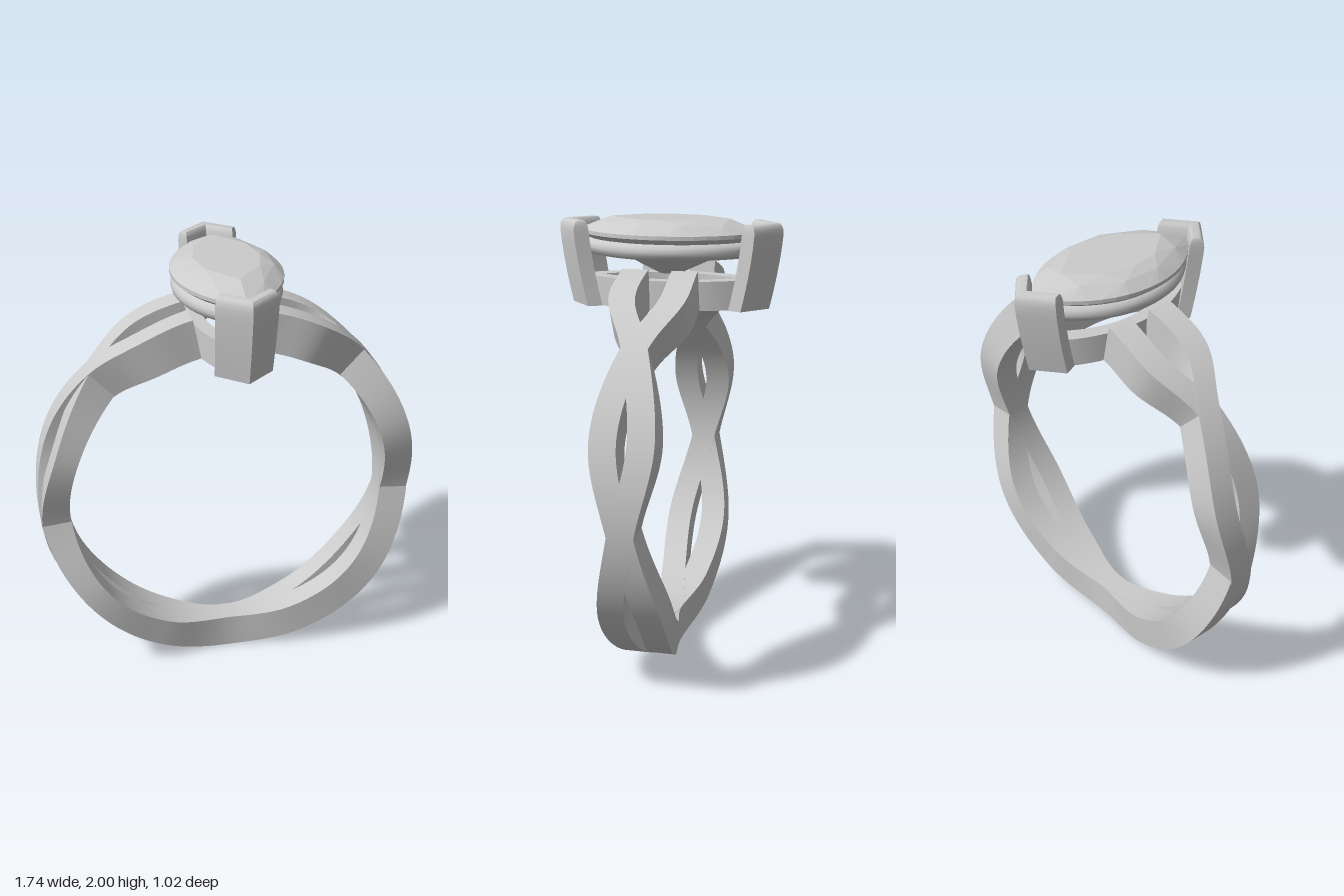
import * as THREE from 'three';
import { toCreasedNormals } from 'three/addons/utils/BufferGeometryUtils.js';
import { ConvexGeometry } from 'three/addons/geometries/ConvexGeometry.js';

const material = new THREE.MeshStandardMaterial({ color: 0xcccccc });
const V = (x, y, z) => new THREE.Vector3(x, y, z);
const CENTRE_Y = 0.87;

function mesh(name, geometry) {
  const m = new THREE.Mesh(geometry, material);
  m.name = name;
  return m;
}

// Skin through equal-sized cross-sections; ends are capped unless closed.
function loft(rings, closed = false, crease = 0.6) {
  const n = rings[0].length, count = rings.length, pts = rings.flat(), tris = [];
  const quad = (a, b, c, d) => tris.push([a, b, c], [a, c, d]);
  for (let i = 0; i < (closed ? count : count - 1); i++) {
    const p = i * n, q = ((i + 1) % count) * n;
    for (let j = 0; j < n; j++) {
      const k = (j + 1) % n;
      quad(p + j, p + k, q + k, q + j);
    }
  }
  if (!closed) {
    const e = (count - 1) * n;
    for (let i = 0; i < n / 2 - 1; i++) {
      quad(n - 1 - i, n - 2 - i, i + 1, i);
      quad(e + i, e + i + 1, e + n - 2 - i, e + n - 1 - i);
    }
  }
  // Turn the faces outward using the enclosed volume
  let volume = 0;
  for (const [a, b, c] of tris) volume += pts[a].dot(pts[b].clone().cross(pts[c]));
  if (volume < 0) tris.forEach((t) => t.reverse());
  const g = new THREE.BufferGeometry().setFromPoints(pts);
  g.setIndex(tris.flat());
  return toCreasedNormals(g, crease);
}

// Pointed oval: two arcs meeting at z = +-l, half width w
function marquise(w, l, count, y, shift = 0) {
  const R = (l * l + w * w) / (2 * w), out = [];
  for (let i = 0; i < count; i++) {
    const t = ((i + shift) / count) % 1, s = t < 0.5 ? 1 : -1;
    const z = l * (((t * 4) % 2) - 1) * s;
    out.push(V(s * (Math.sqrt(R * R - z * z) - R + w), y, z));
  }
  return out;
}

// One of two woven strands; keys are angle from the top, sideways swing, outer radius
function strand(name, side) {
  const keys = [
    [11, 0.11, 0.937], [27, 0.106, 0.925], [43, 0, 0.905], [69, -0.08, 0.88],
    [95, 0, 0.867], [125, 0.083, 0.868], [155, 0.055, 0.87], [180, 0, 0.87],
  ];
  const mirrored = keys.slice(0, -1).reverse().map(([a, z, r]) => [360 - a, z, r]);
  const curve = new THREE.CatmullRomCurve3([...keys, ...mirrored].map((k) => V(...k)));
  const rings = [];
  for (let i = 0; i <= 224; i++) {
    const { x: deg, y: swing, z: radius } = curve.getPoint(i / 224);
    const z = swing * side, a = THREE.MathUtils.degToRad(deg);
    let outer = radius + side * 0.001;
    if (deg > 180 && deg < 317 && z > 0) outer -= 0.4 * z;
    const inner = 0.76 - 0.05 * Math.min(deg, 360 - deg) / 180 - side * 0.001;
    const at = (r, dz) => V(r * Math.sin(a), CENTRE_Y + r * Math.cos(a), z + dz);
    rings.push([at(inner, -0.058), at(outer, -0.058), at(outer, 0.058), at(inner, 0.058)]);
  }
  return mesh(name, loft(rings));
}

// V-shaped claw leaning outward, rounded over at the top
function prong(name) {
  const section = [[-0.135, 0.405], [0, 0.51], [0.135, 0.405], [0.105, 0.345], [0, 0.425], [-0.105, 0.345]];
  const levels = [[1.61, 0], [1.68, 0], [1.75, 0], [1.82, 0], [1.89, 0], [1.94, 0],
    [1.963, 0.05], [1.978, 0.13], [1.986, 0.26]];
  const rings = levels.map(([y, inset]) => {
    const t = Math.min(1, (y - 1.61) / 0.37);
    return section.map(([x, z], i) => {
      const [px, pz] = section[5 - i];
      const wide = (0.92 + 0.08 * t) * (1 - inset * 0.3);
      return V((x + (px - x) * inset) * wide, y,
        z + (pz - z) * inset - 0.06 * Math.pow(1 - t, 1.5));
    });
  });
  return mesh(name, loft(rings, false, 0.65));
}

// Lower marquise frame between the claws
function gallery() {
  const out = marquise(0.168, 0.42, 64, 0), hole = marquise(0.105, 0.3, 64, 0);
  const rings = out.map((o, i) => [
    V(o.x, 1.612, o.z), V(o.x, 1.74, o.z),
    V(hole[i].x, 1.74, hole[i].z), V(hole[i].x, 1.612, hole[i].z),
  ]);
  return mesh('gallery', loft(rings, true));
}

// Rounded rail under the stone
function rail() {
  const out = marquise(0.236, 0.41, 64, 0), inn = marquise(0.165, 0.31, 64, 0);
  const rings = out.map((o, i) => Array.from({ length: 12 }, (_, k) => {
    const a = (k / 12) * Math.PI * 2;
    const p = o.clone().lerp(inn[i], 0.5 - 0.5 * Math.cos(a));
    return V(p.x, 1.87 + 0.037 * Math.sin(a), p.z);
  }));
  return mesh('rail', loft(rings, true, 0.8));
}

// Faceted stone: table, crown, girdle, pavilion and keel
function gem() {
  const points = [
    ...marquise(0.145, 0.27, 8, 2.0),
    ...marquise(0.198, 0.35, 8, 1.98, 0.5),
    ...marquise(0.24, 0.418, 32, 1.942),
    ...marquise(0.24, 0.418, 32, 1.925),
    ...marquise(0.13, 0.23, 8, 1.83, 0.5),
    V(0, 1.75, 0.04), V(0, 1.75, -0.04),
  ];
  return mesh('gem', new ConvexGeometry(points));
}

export function createModel() {
  const group = new THREE.Group();
  group.name = 'ring';
  const backProng = prong('backProng');
  backProng.rotation.y = Math.PI;
  group.add(strand('frontStrand', 1), strand('backStrand', -1),
    gallery(), rail(), gem(), prong('frontProng'), backProng);
  return group;
}
